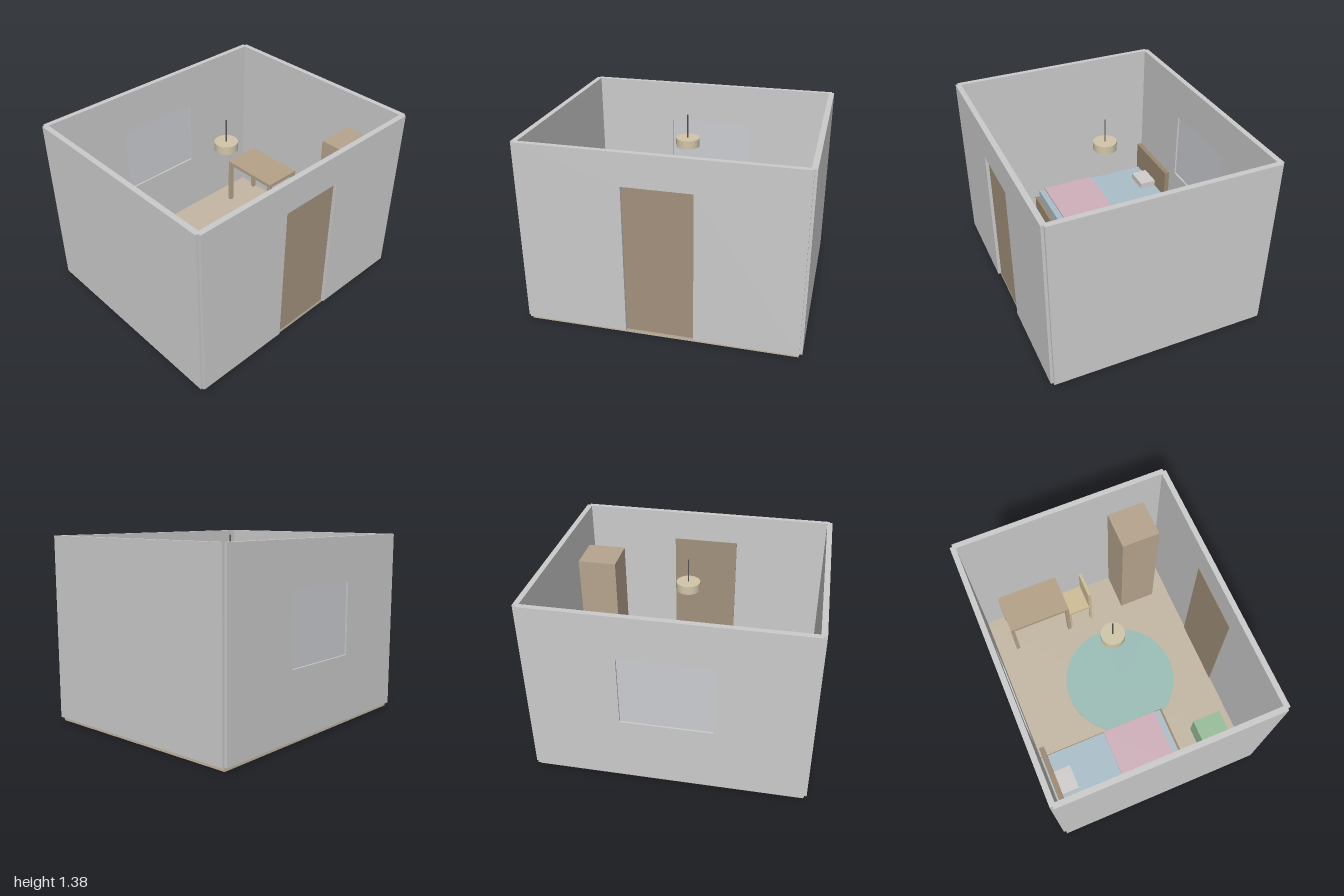
import * as THREE from 'three';

const FLOOR = 0.03, TOP = 1.385;

function mesh(parent, name, geometry, color) {
  const m = new THREE.Mesh(geometry, new THREE.MeshStandardMaterial({ color }));
  m.name = name;
  parent.add(m);
  return m;
}

// Box given by its extents on each axis
function box(parent, name, [x0, x1], [y0, y1], [z0, z1], color) {
  const m = mesh(parent, name, new THREE.BoxGeometry(x1 - x0, y1 - y0, z1 - z0), color);
  m.position.set((x0 + x1) / 2, (y0 + y1) / 2, (z0 + z1) / 2);
  return m;
}

function cylinder(parent, name, radius, [y0, y1], x, z, color, sides = 48) {
  const m = mesh(parent, name, new THREE.CylinderGeometry(radius, radius, y1 - y0, sides), color);
  m.position.set(x, (y0 + y1) / 2, z);
  return m;
}

function part(parent, name) {
  const g = new THREE.Group();
  g.name = name;
  parent.add(g);
  return g;
}

// Four square legs inset at the corners of a rectangle
function legs(parent, [x0, x1], [z0, z1], top, size, color) {
  for (const x of [x0, x1 - size])
    for (const z of [z0, z1 - size])
      box(parent, 'leg', [x, x + size], [FLOOR, top], [z, z + size], color);
}

function polygon(points) {
  return points.map(([x, y]) => new THREE.Vector2(x, y));
}

export function createModel() {
  const room = new THREE.Group();
  room.name = 'bedroom';
  const grey = 0xcccccc, wood = 0x9c8871;

  // Floor and side walls
  box(room, 'floor', [-0.975, 0.975], [0, FLOOR], [-0.81, 0.81], 0xc4b7a4);
  for (const [name, s] of [['leftWall', 1], ['rightWall', -1]])
    box(room, name, [s * 0.98 - 0.02, s * 0.98 + 0.02], [FLOOR, TOP], [-0.815, 0.815], grey);

  // Front wall with a doorway cut up from the floor
  const frontShape = new THREE.Shape(polygon([
    [-0.98, FLOOR], [-0.245, FLOOR], [-0.245, 1.147], [0.245, 1.147],
    [0.245, FLOOR], [0.98, FLOOR], [0.98, TOP], [-0.98, TOP],
  ]));
  const wallDepth = { depth: 0.04, bevelEnabled: false };
  mesh(room, 'frontWall', new THREE.ExtrudeGeometry(frontShape, wallDepth), grey).position.z = 0.795;
  box(room, 'door', [-0.255, 0.255], [FLOOR, 1.152], [0.789, 0.811], 0xa2917c);

  // Back wall with a window opening and thin pane
  const backShape = new THREE.Shape(polygon([[-0.98, FLOOR], [0.98, FLOOR], [0.98, TOP], [-0.98, TOP]]));
  backShape.holes.push(new THREE.Path(polygon([[-0.33, 0.525], [-0.33, 1.06], [0.33, 1.06], [0.33, 0.525]])));
  mesh(room, 'backWall', new THREE.ExtrudeGeometry(backShape, wallDepth), grey).position.z = -0.835;
  box(room, 'windowPane', [-0.33, 0.33], [0.525, 1.06], [-0.821, -0.809], 0xcccdd2);

  // Round rug
  cylinder(room, 'rug', 0.46, [FLOOR, 0.04], 0.03, 0.08, 0x9cbeb8, 64);

  // Bed along the right wall
  const bed = part(room, 'bed');
  box(bed, 'bedFrame', [-0.925, -0.385], [FLOOR, 0.19], [-0.795, 0.27], wood);
  box(bed, 'mattress', [-0.895, -0.41], [0.19, 0.27], [-0.79, 0.24], 0xabbfc9);
  box(bed, 'blanket', [-0.897, -0.408], [0.24, 0.285], [-0.25, 0.19], 0xcfb0bb);
  box(bed, 'pillow', [-0.75, -0.56], [0.27, 0.32], [-0.735, -0.6], 0xd1cdcc);
  box(bed, 'headboard', [-0.925, -0.385], [FLOOR, 0.5], [-0.775, -0.735], wood);

  // Desk against the left wall
  const desk = part(room, 'desk');
  const deskX = [0.63, 0.95], deskZ = [-0.64, -0.13];
  box(desk, 'deskTop', deskX, [0.41, 0.44], deskZ, 0xb5a289);
  legs(desk, deskX, deskZ, 0.41, 0.03, 0xb5a289);

  // Chair in front of the desk
  const chair = part(room, 'chair');
  const chairX = [0.655, 0.865], chairZ = [-0.13, 0.08];
  box(chair, 'seat', chairX, [0.25, 0.275], chairZ, 0xcfbe96);
  box(chair, 'backrest', chairX, [0.275, 0.5], [0.055, 0.08], 0xcfbe96);
  legs(chair, chairX, chairZ, 0.25, 0.022, 0xcfbe96);

  // Wardrobe with a small handle
  const wardrobe = part(room, 'wardrobe');
  box(wardrobe, 'wardrobeBody', [0.66, 0.96], [FLOOR, 1.095], [0.36, 0.66], 0xb6a58e);
  box(wardrobe, 'handle', [0.72, 0.743], [0.52, 0.6], [0.66, 0.682], 0x6b6256);

  // Storage box
  box(room, 'storageBox', [-0.86, -0.605], [FLOOR, 0.27], [0.45, 0.68], 0x98be99);

  // Hanging lamp
  const lamp = part(room, 'ceilingLamp');
  cylinder(lamp, 'lampShade', 0.086, [1.147, 1.21], 0, 0, 0xd1c6aa);
  cylinder(lamp, 'lampCord', 0.005, [1.21, TOP], 0, 0, 0x555555, 8);

  return room;
}
